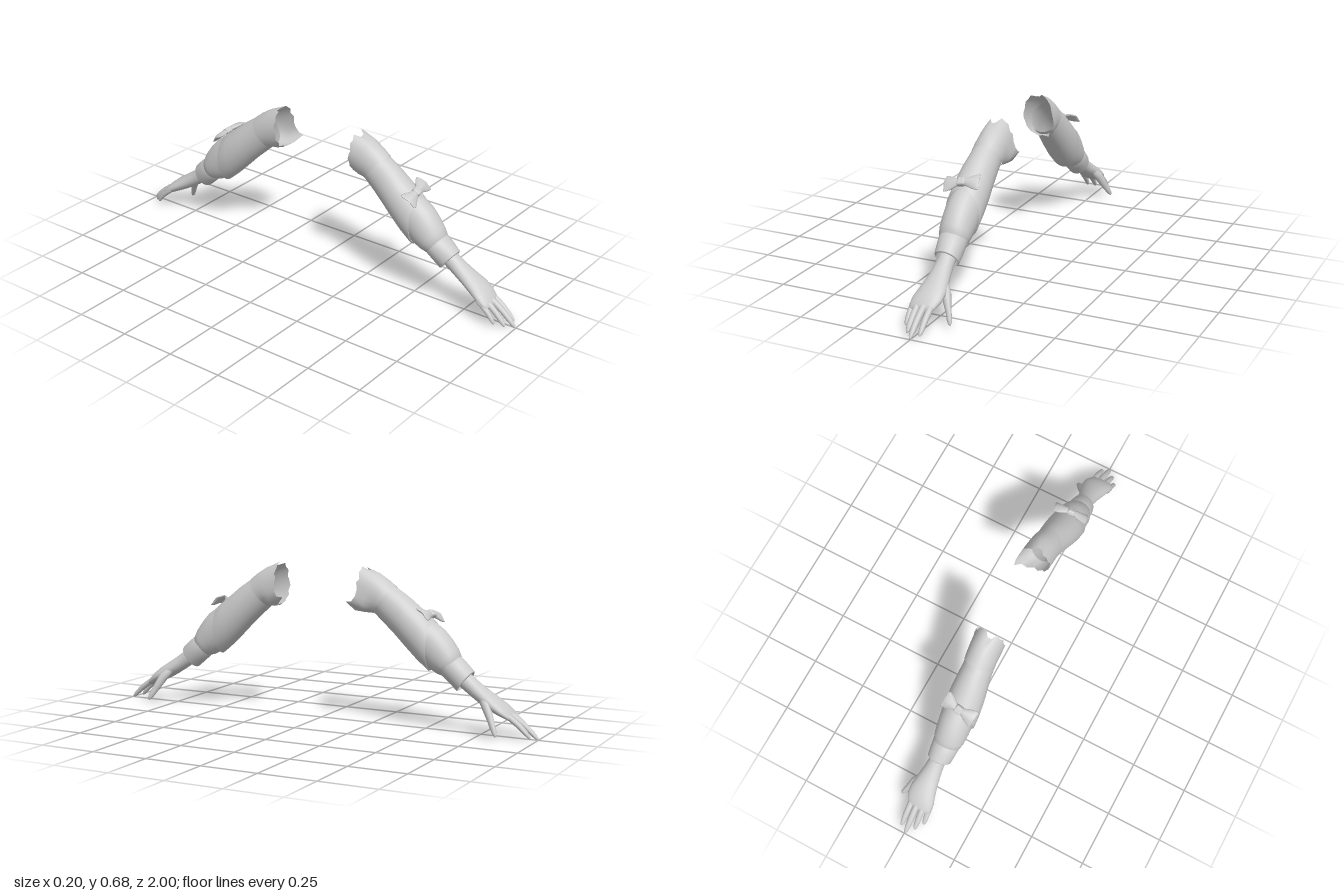
import * as THREE from 'three';
import { RoundedBoxGeometry } from 'three/addons/geometries/RoundedBoxGeometry.js';

// Skin a row of elliptical rings: [z, centreX, centreY, radiusX, radiusY]
function loft(rings, sides = 24, warp = null) {
  const pos = [], idx = [];
  rings.forEach(([z, cx, cy, rx, ry], i) => {
    const u = i / (rings.length - 1);
    for (let j = 0; j < sides; j++) {
      const a = (j / sides) * Math.PI * 2;
      const p = new THREE.Vector3(cx + rx * Math.cos(a), cy + ry * Math.sin(a), z);
      if (warp) warp(p, a, u, j);
      pos.push(p.x, p.y, p.z);
      if (i === 0) continue;
      const k = (j + 1) % sides, r0 = (i - 1) * sides, r1 = i * sides;
      idx.push(r0 + j, r0 + k, r1 + j, r0 + k, r1 + k, r1 + j);
    }
  });
  const g = new THREE.BufferGeometry();
  g.setAttribute('position', new THREE.Float32BufferAttribute(pos, 3));
  g.setIndex(idx);
  g.computeVertexNormals();
  return g;
}

// Rounded finger running from a base to a tip, each [z, x, y]
function finger(base, tip, r) {
  const steps = [[0, 0.9], [0.3, 1], [0.55, 0.95], [0.8, 0.82], [0.93, 0.6], [0.985, 0.3], [1, 0.02]];
  return loft(steps.map(([u, k]) => {
    const [z, x, y] = base.map((b, i) => b + (tip[i] - b) * u);
    const arch = 0.007 * Math.sin(u * Math.PI);
    return [z, x, y + arch, r * k, r * k * 0.95];
  }), 12);
}

// Parts in arm space: z runs down the arm, y points away from its upper face
function armParts() {
  const parts = [];
  const add = (name, geometry) => parts.push([name, geometry]);

  // Torn, flared shoulder end
  const jag = [0.01, 0, 0.012, 0, 0.004, 0, 0.03, 0.03, 0, 0.008, 0, 0.012, 0.005, 0, 0.01, 0,
    0.015, 0, 0.02, 0, 0.012, -0.03, 0, 0.01];
  add('shoulderSleeve', loft([
    [-0.25, -0.008, 0.59, 0.068, 0.075],
    [-0.18, -0.008, 0.603, 0.068, 0.081],
    [-0.13, -0.009, 0.612, 0.067, 0.077],
    [-0.09, -0.01, 0.613, 0.066, 0.076],
  ], 24, (p, a, u, j) => {
    const open = 1 - u;
    p.z += open * (0.045 - 0.055 * Math.sin(a)) * 0.9 + (u === 0 ? jag[j] : 0);
    const corner = Math.max(0, Math.cos(a + Math.PI / 4)) ** 6 * open ** 2;
    p.x += 0.032 * corner;
    p.y -= 0.02 * corner;
  }));

  // Upper sleeve with a slanted hem, short on top and long below
  add('upperSleeve', loft([
    [0, -0.012, 0.612, 0.063, 0.072],
    [0, -0.012, 0.612, 0.066, 0.077],
    [0, -0.014, 0.611, 0.072, 0.081],
    [0, -0.015, 0.606, 0.077, 0.085],
    [0, -0.016, 0.602, 0.079, 0.089],
    [0, -0.016, 0.6, 0.078, 0.09],
    [0, -0.016, 0.6, 0.071, 0.081],
  ], 28, (p, a, u) => {
    const v = Math.min(1, u * 1.2);
    p.z = -0.11 + v * (0.3 - 0.06 * Math.sin(a));
  }));

  // Puffed lower sleeve
  add('lowerSleeve', loft([
    [0.03, -0.013, 0.61, 0.064, 0.072],
    [0.13, -0.013, 0.607, 0.071, 0.08],
    [0.19, -0.013, 0.605, 0.073, 0.085],
    [0.24, -0.014, 0.6, 0.071, 0.081],
    [0.285, -0.014, 0.597, 0.067, 0.07],
    [0.315, -0.013, 0.595, 0.06, 0.056],
    [0.32, -0.012, 0.594, 0.045, 0.045],
  ], 28));

  // Cuff with a turned-in rim
  add('cuff', loft([
    [0.3, -0.012, 0.594, 0.05, 0.045],
    [0.305, -0.012, 0.594, 0.061, 0.056],
    [0.35, -0.01, 0.592, 0.058, 0.057],
    [0.398, -0.008, 0.588, 0.053, 0.056],
    [0.402, -0.008, 0.588, 0.047, 0.05],
    [0.36, -0.008, 0.59, 0.042, 0.044],
  ], 24));

  // Forearm, wrist and palm
  add('hand', loft([
    [0.33, -0.005, 0.59, 0.036, 0.038],
    [0.42, -0.004, 0.592, 0.037, 0.035],
    [0.46, -0.002, 0.594, 0.041, 0.034],
    [0.51, 0, 0.598, 0.049, 0.033],
    [0.56, 0, 0.604, 0.059, 0.031],
    [0.6, -0.005, 0.608, 0.063, 0.026],
    [0.635, -0.012, 0.61, 0.057, 0.019],
    [0.655, -0.014, 0.609, 0.05, 0.01],
    [0.66, -0.014, 0.609, 0.01, 0.002],
  ], 24));

  // Fingers and thumb
  add('littleFinger', finger([0.6, -0.057, 0.602], [0.72, -0.059, 0.588], 0.0125));
  add('ringFinger', finger([0.61, -0.031, 0.611], [0.757, -0.033, 0.601], 0.0135));
  add('middleFinger', finger([0.61, -0.002, 0.613], [0.787, -0.003, 0.615], 0.014));
  add('indexFinger', finger([0.61, 0.026, 0.609], [0.764, 0.027, 0.607], 0.0135));
  add('thumb', loft([
    [0.5, 0.03, 0.594, 0.012, 0.016],
    [0.545, 0.049, 0.586, 0.021, 0.021],
    [0.59, 0.065, 0.568, 0.017, 0.018],
    [0.62, 0.079, 0.554, 0.013, 0.015],
    [0.645, 0.088, 0.543, 0.011, 0.012],
    [0.658, 0.092, 0.538, 0.006, 0.006],
    [0.66, 0.092, 0.538, 0.0005, 0.0005],
  ], 14));

  // Bow: two fan-shaped wings and a knot
  const place = (g) => g.rotateY(0.2).rotateZ(0.06).translate(-0.023, 0.703, 0.103);
  for (const side of [-1, 1]) {
    const wing = loft([
      [0.008, 0, 0, 0.013, 0.009],
      [0.022, 0, 0, 0.02, 0.011],
      [0.05, 0, 0, 0.034, 0.01],
      [0.069, 0, 0, 0.04, 0.007],
      [0.076, 0, 0, 0.037, 0.003],
      [0.077, 0, 0, 0.02, 0.001],
    ], 16, (p) => { p.y += 0.004 * Math.cos(p.x * 90) - 0.004; });
    add(side > 0 ? 'bowWingLeft' : 'bowWingRight', place(wing.rotateY(side * Math.PI / 2)));
  }
  add('bowKnot', place(new RoundedBoxGeometry(0.036, 0.026, 0.038, 3, 0.009)));
  return parts;
}

// Mirror a geometry front to back, keeping its faces outward
function mirrorZ(g) {
  const m = g.index ? g.toNonIndexed() : g.clone();
  for (const name of ['position', 'normal']) {
    const attr = m.attributes[name], src = attr.clone();
    for (let i = 0; i < attr.count; i++) {
      const k = i % 3 === 1 ? i + 1 : i % 3 === 2 ? i - 1 : i;
      attr.setXYZ(i, src.getX(k), src.getY(k), -src.getZ(k));
    }
  }
  return m;
}

export function createModel() {
  const model = new THREE.Group();
  model.name = 'pairOfArms';
  const paleGrey = new THREE.MeshStandardMaterial({ color: 0xcccccc, side: THREE.DoubleSide });
  paleGrey.name = 'paleGrey';

  const front = new THREE.Group(), back = new THREE.Group();
  front.name = 'frontArm';
  back.name = 'backArm';
  for (const [name, geometry] of armParts()) {
    geometry.rotateX(0.6578); // slope the arm down and outward
    for (const [arm, g] of [[front, geometry], [back, mirrorZ(geometry)]]) {
      const mesh = new THREE.Mesh(g, paleGrey);
      mesh.name = name;
      arm.add(mesh);
    }
  }
  model.add(front, back);
  return model;
}
